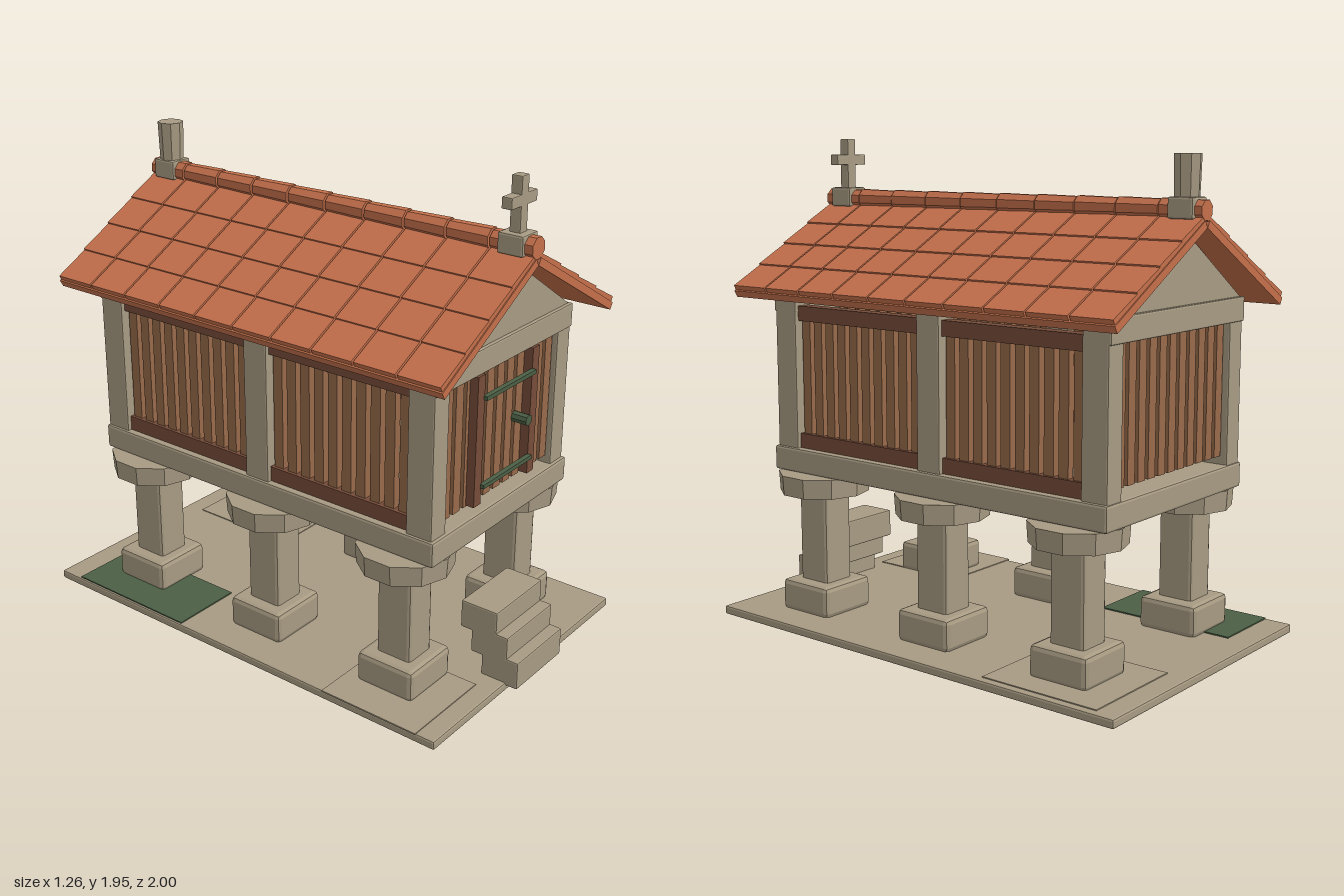
import * as THREE from 'three';
import { RoundedBoxGeometry } from 'three/addons/geometries/RoundedBoxGeometry.js';

const mat = (name, color) => {
  const m = new THREE.MeshStandardMaterial({ color });
  m.name = name;
  return m;
};

export function createModel() {
  const stone = mat('stone', 0xa89b83);
  const tile = mat('terracotta', 0xc4704b);
  const wood = mat('slatWood', 0x976a4a);
  const darkWood = mat('darkWood', 0x764c39);
  const green = mat('mossGreen', 0x4b5f45);
  const root = new THREE.Group();
  root.name = 'raisedGranary';

  const add = (name, geo, material, x, y, z, parent = root) => {
    const m = new THREE.Mesh(geo, material);
    m.name = name;
    m.position.set(x, y, z);
    parent.add(m);
    return m;
  };
  const flat = (geo) => {
    const g = geo.index ? geo.toNonIndexed() : geo;
    g.computeVertexNormals();
    return g;
  };
  // Box given by its limits; a bevel gives chamfered edges
  const block = (name, material, [x0, x1], [y0, y1], [z0, z1], bevel = 0, parent = root) => {
    const w = x1 - x0, h = y1 - y0, d = z1 - z0;
    const geo = bevel ? flat(new RoundedBoxGeometry(w, h, d, 1, bevel)) : new THREE.BoxGeometry(w, h, d);
    return add(name, geo, material, (x0 + x1) / 2, (y0 + y1) / 2, (z0 + z1) / 2, parent);
  };
  const around = (c, size) => [c - size / 2, c + size / 2];

  // Ground slab with thin paving stones and a moss patch
  block('groundSlab', stone, [-0.63, 0.63], [0, 0.036], [-1, 0.95], 0.008);
  block('pavingStone', stone, [-0.634, -0.24], [0.034, 0.04], [0.44, 0.87]);
  block('pavingStone', stone, [0.15, 0.6], [0.034, 0.04], [-0.91, -0.41]);
  block('mossPatch', green, [-0.622, -0.32], [0.034, 0.041], [-0.89, -0.3]);

  // Entrance steps
  for (let i = 0; i < 3; i++) {
    block('step', stone, [-0.16, 0.16], [0.025 + i * 0.09, 0.14 + i * 0.09],
      [0.84 - i * 0.05, 1 - i * 0.05], 0.006);
  }

  // Six stilts: footing, pillar and wide round cap stone
  const capGeo = flat(new THREE.CylinderGeometry(0.187, 0.182, 0.08, 10));
  for (const x of [-0.362, 0.362]) {
    for (const z of [0.62, -0.02, -0.66]) {
      block('footing', stone, around(x, 0.255), [0.03, 0.16], around(z, 0.255), 0.02);
      block('pillar', stone, around(x, 0.14), [0.13, 0.55], around(z, 0.152), 0.014);
      add('capStone', capGeo, stone, x, 0.57, z);
    }
  }

  // Floor and posts
  block('floorSlab', stone, [-0.46, 0.46], [0.61, 0.71], [-0.847, 0.805], 0.01);
  const postZ = [0.735, -0.025, -0.785];
  for (const s of [-1, 1]) {
    for (const z of postZ) {
      block('post', stone, around(s * 0.405, 0.09), [0.7, z === postZ[1] ? 1.37 : 1.34], around(z, 0.112), 0.006);
    }
  }

  // End lintels and gables
  const gableShape = new THREE.Shape();
  gableShape.moveTo(-0.44, 0);
  gableShape.lineTo(0.44, 0);
  gableShape.lineTo(0, 0.29);
  gableShape.closePath();
  const gableGeo = new THREE.ExtrudeGeometry(gableShape, { depth: 0.09, bevelEnabled: false });
  for (const z of [0.738, -0.79]) {
    block('lintel', stone, [-0.45, 0.45], [1.262, 1.357], around(z, 0.12), 0.006);
    add('gable', gableGeo, stone, 0, 1.355, z - 0.045);
  }

  // Side walls: two bays each with rails and vertical slats
  for (const s of [-1, 1]) {
    for (const zc of [0.355, -0.405]) {
      for (const y of [0.74, 1.26]) {
        block('rail', darkWood, around(s * 0.405, 0.055), around(y, 0.06), around(zc, 0.655));
      }
      for (let i = 0; i < 10; i++) {
        block('sideSlat', wood, around(s * 0.405, 0.03), [0.76, 1.24], around(zc + (i - 4.5) * 0.065, 0.043));
      }
    }
  }

  // End walls: open rows of slats
  for (const z of [0.755, -0.8]) {
    for (let i = -5; i <= 5; i++) {
      block('endSlat', wood, around(i * 0.0662, 0.046), [0.745, 1.265], around(z, 0.03));
    }
  }

  // Door frame, straps and knob
  for (const s of [-1, 1]) {
    block('doorFrame', darkWood, around(s * 0.182, 0.045), [0.75, 1.262], [0.765, 0.805]);
  }
  for (const y of [0.823, 1.172]) {
    block('doorStrap', green, [-0.165, 0.165], around(y, 0.016), [0.8, 0.82]);
  }
  const knob = add('doorKnob', flat(new THREE.CylinderGeometry(0.022, 0.022, 0.065, 8)), green, 0.103, 1, 0.803);
  knob.rotation.x = Math.PI / 2;

  // Roof: two sloped slabs covered with overlapping tiles
  const roofZ = -0.0225, roofLen = 1.845, cols = 10, rows = 4;
  const colW = roofLen / cols, slopeLen = 0.64, rowLen = 0.158;
  const tileGeo = new THREE.BoxGeometry(rowLen + 0.012, 0.02, colW - 0.008);
  for (const turn of [0, Math.PI]) {
    const side = new THREE.Group();
    side.name = 'roofSide';
    side.position.set(0, 1.64, roofZ);
    side.rotation.y = turn;
    const slope = new THREE.Group();
    slope.name = 'roofSlope';
    slope.rotation.z = -0.52;
    side.add(slope);
    root.add(side);
    block('roofSlab', tile, [0, slopeLen], [0, 0.03], [-roofLen / 2, roofLen / 2], 0, slope);
    for (let r = 0; r < rows; r++) {
      for (let c = 0; c < cols; c++) {
        const t = add('roofTile', tileGeo, tile, (r + 0.5) * rowLen - 0.004, 0.038,
          (c + 0.5 - cols / 2) * colW, slope);
        t.rotation.z = 0.04;
      }
    }
  }

  // Ridge caps
  const ridgeGeo = flat(new THREE.CylinderGeometry(0.043, 0.039, colW - 0.006, 8));
  for (let c = 0; c < cols; c++) {
    const cap = add('ridgeCap', ridgeGeo, tile, 0, 1.702, roofZ + (c + 0.5 - cols / 2) * colW);
    cap.rotation.set(Math.PI / 2, Math.PI / 8, 0);
  }

  // Front cross finial
  block('crossBase', stone, [-0.05, 0.05], [1.67, 1.748], [0.757, 0.863], 0.008);
  block('crossUpright', stone, [-0.023, 0.023], [1.74, 1.95], [0.788, 0.833], 0.004);
  block('crossArm', stone, [-0.083, 0.083], [1.842, 1.885], [0.789, 0.832], 0.004);

  // Rear round finial
  block('finialBase', stone, [-0.05, 0.05], [1.67, 1.748], [-0.912, -0.806], 0.008);
  add('finialColumn', flat(new THREE.CylinderGeometry(0.052, 0.047, 0.16, 8)), stone, 0, 1.82, -0.859);

  return root;
}
